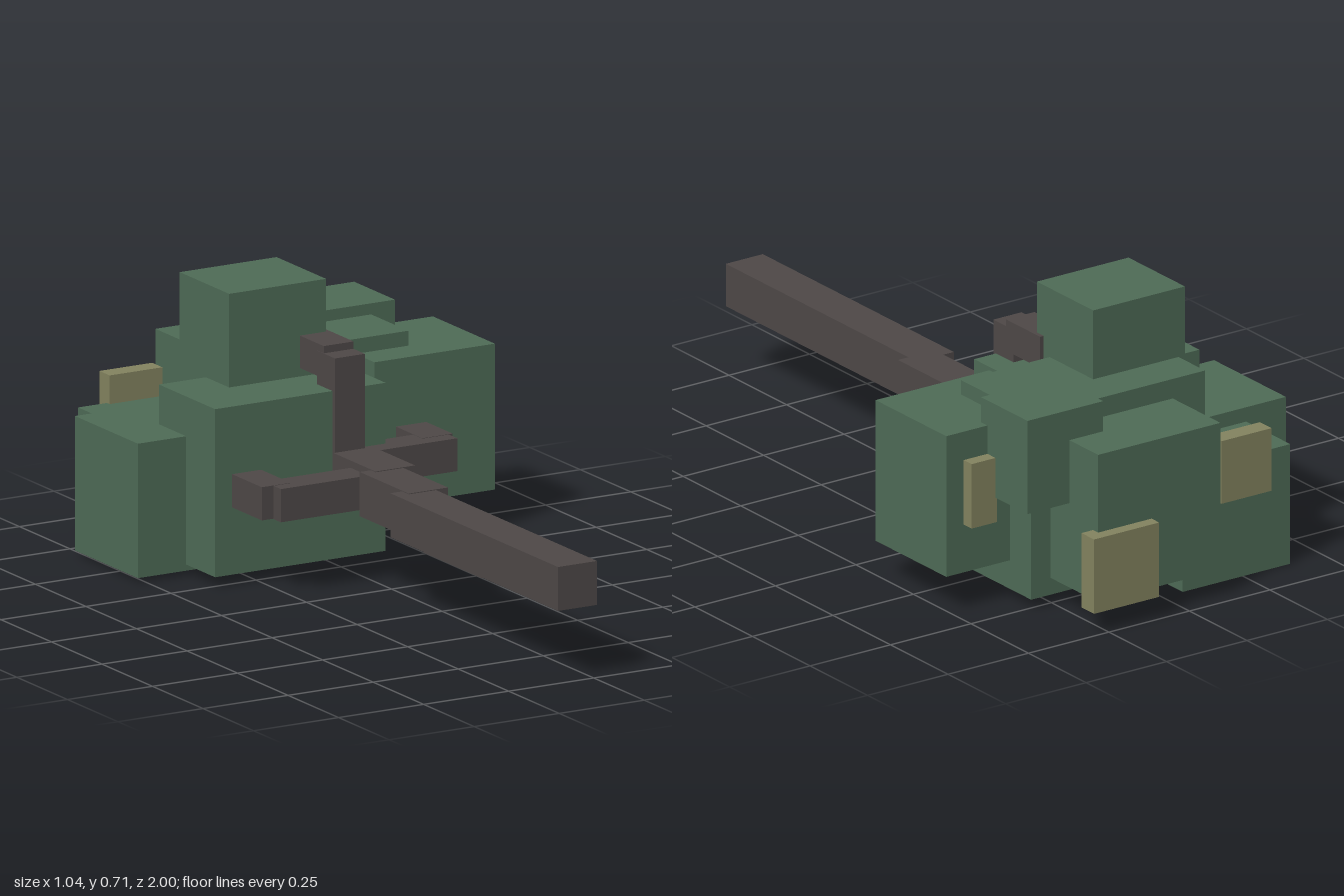
import * as THREE from 'three';

const mat = (name, color) => Object.assign(new THREE.MeshStandardMaterial({ color }), { name });

export function createModel() {
  const leaf = mat('leaf green', 0x4e6b56);
  const bark = mat('dark bark', 0x4e4847);
  const moss = mat('pale olive', 0x83835f);
  const model = new THREE.Group();
  model.name = 'fallenTree';

  // Box given by its extents along each axis
  const addBox = (parent, name, material, [x0, x1], [y0, y1], [z0, z1]) => {
    const mesh = new THREE.Mesh(new THREE.BoxGeometry(x1 - x0, y1 - y0, z1 - z0), material);
    mesh.position.set((x0 + x1) / 2, (y0 + y1) / 2, (z0 + z1) / 2);
    mesh.name = name;
    parent.add(mesh);
  };
  const addGroup = (name, material, parts) => {
    const group = new THREE.Group();
    group.name = name;
    parts.forEach(([part, x, y, z]) => addBox(group, part, material, x, y, z));
    model.add(group);
  };

  // Trunk lying along z, stepping sideways toward the crown
  addGroup('trunk', bark, [
    ['trunkBase', [-0.105, 0.01], [0.19, 0.305], [0.17, 1]],
    ['trunkMiddle', [-0.07, 0.045], [0.191, 0.307], [-0.04, 0.203]],
    ['trunkTop', [-0.037, 0.079], [0.192, 0.309], [-0.225, -0.017]],
    ['barkRidge', [-0.09, -0.062], [0.18, 0.2], [0.31, 0.595]],
  ]);

  // Three elbowed branches
  addGroup('branches', bark, [
    ['rightBranch', [-0.294, -0.03], [0.203, 0.29], [-0.14, -0.053]],
    ['rightBranchTip', [-0.328, -0.243], [0.204, 0.291], [-0.26, -0.09]],
    ['leftBranch', [0.04, 0.305], [0.223, 0.309], [-0.275, -0.188]],
    ['leftBranchTip', [0.227, 0.316], [0.224, 0.31], [-0.38, -0.23]],
    ['upperBranch', [-0.033, 0.055], [0.2, 0.556], [-0.313, -0.225]],
    ['upperBranchTip', [-0.032, 0.056], [0.49, 0.575], [-0.43, -0.282]],
  ]);

  // Blocky leaf clumps
  addGroup('crown', leaf, [
    ['frontClump', [-0.378, 0.123], [0.028, 0.468], [-0.515, -0.237]],
    ['centreClump', [-0.22, 0.32], [0.027, 0.526], [-0.76, -0.456]],
    ['topClump', [-0.24, 0.045], [0.44, 0.713], [-0.645, -0.4]],
    ['leftClump', [0.164, 0.518], [0.105, 0.487], [-0.668, -0.361]],
    ['upperLeftClump', [0.155, 0.39], [0.302, 0.555], [-0.842, -0.64]],
    ['rightClump', [-0.52, -0.166], [0.012, 0.364], [-0.692, -0.38]],
    ['backRightClump', [-0.397, -0.063], [0, 0.325], [-0.883, -0.672]],
    ['backClump', [-0.12, 0.26], [0.073, 0.473], [-0.967, -0.66]],
  ]);

  // Pale patches on the backs of the clumps
  addGroup('palePatches', moss, [
    ['backPatch', [0.094, 0.296], [0.06, 0.262], [-1, -0.945]],
    ['backRightPatch', [-0.312, -0.157], [0.23, 0.4], [-0.921, -0.87]],
    ['rightPatch', [-0.47, -0.398], [0.04, 0.22], [-0.731, -0.67]],
    ['leftPatch', [0.386, 0.464], [0.235, 0.41], [-0.703, -0.655]],
  ]);

  return model;
}
